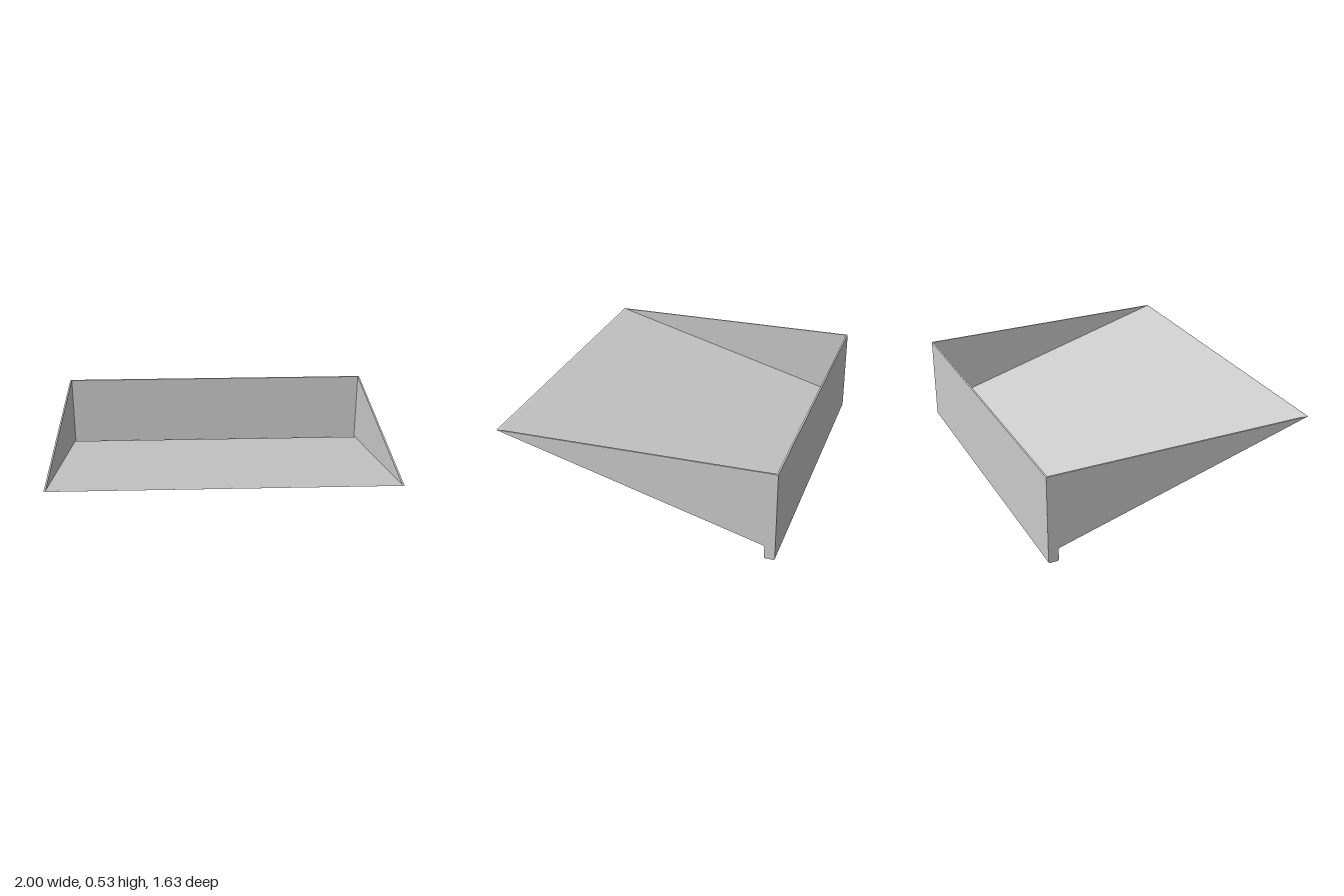
import * as THREE from 'three';

const HALF = 0.815;    // half depth
const TOP = 0.533;     // rim height
const WALL = 0.01;     // wall thickness
const LIP = 0.755;     // front of the rear lip (distance behind centre)

// Profiles are drawn as (distance towards the back, height).
function outerProfile() {
  const s = new THREE.Shape();
  s.moveTo(-HALF, TOP);
  s.lineTo(LIP - 0.012, 0.083);
  s.quadraticCurveTo(LIP, 0.08, LIP, 0.066);
  s.lineTo(LIP, 0.008);
  s.quadraticCurveTo(LIP, 0, LIP + 0.008, 0);
  s.lineTo(HALF - 0.008, 0);
  s.quadraticCurveTo(HALF, 0, HALF, 0.008);
  s.lineTo(HALF, TOP);
  return s;
}

// Extrude a side profile along x, from x0 to x1.
function extrudeAcross(shape, x0, x1) {
  const g = new THREE.ExtrudeGeometry(shape, { depth: x1 - x0, bevelEnabled: false, curveSegments: 6 });
  g.rotateY(Math.PI / 2);
  g.translate(x0, 0, 0);
  return g;
}

export function createModel() {
  const group = new THREE.Group();
  const material = new THREE.MeshStandardMaterial({ color: 0xcccccc });
  const add = (name, geometry) => {
    const mesh = new THREE.Mesh(geometry, material);
    mesh.name = name;
    group.add(mesh);
  };

  // Sloping floor, gutter and back wall as one bent sheet
  const c0 = LIP + WALL, c1 = HALF - WALL;
  const sheet = outerProfile();
  sheet.lineTo(c1, TOP);
  sheet.lineTo(c1, 0.006);
  sheet.lineTo(c0, 0.006);
  sheet.lineTo(c0, 0.089);
  sheet.lineTo(-HALF + 0.012, TOP);
  add('floorAndBackWall', extrudeAcross(sheet, -1 + WALL, 1 - WALL));

  // Wedge-shaped side walls
  add('rightWall', extrudeAcross(outerProfile(), -1, -1 + WALL));
  add('leftWall', extrudeAcross(outerProfile(), 1 - WALL, 1));

  // Gutter bottom with a shallow rounded slot
  const w = 1 - WALL;
  const plate = new THREE.Shape([[-w, c0], [w, c0], [w, c1], [-w, c1]].map(p => new THREE.Vector2(...p)));
  const r = (c1 - c0) / 2 - 0.001, mid = (c0 + c1) / 2, run = 0.137 - r;
  const slot = new THREE.Path();
  slot.absarc(run, mid, r, -Math.PI / 2, Math.PI / 2, false);
  slot.absarc(-run, mid, r, Math.PI / 2, Math.PI * 1.5, false);
  slot.closePath();
  plate.holes.push(slot);
  const plateGeometry = new THREE.ExtrudeGeometry(plate, { depth: 0.005, bevelEnabled: false, curveSegments: 12 });
  plateGeometry.rotateX(-Math.PI / 2);
  plateGeometry.translate(0, 0.006, 0);
  add('gutterBottom', plateGeometry);

  return group;
}
